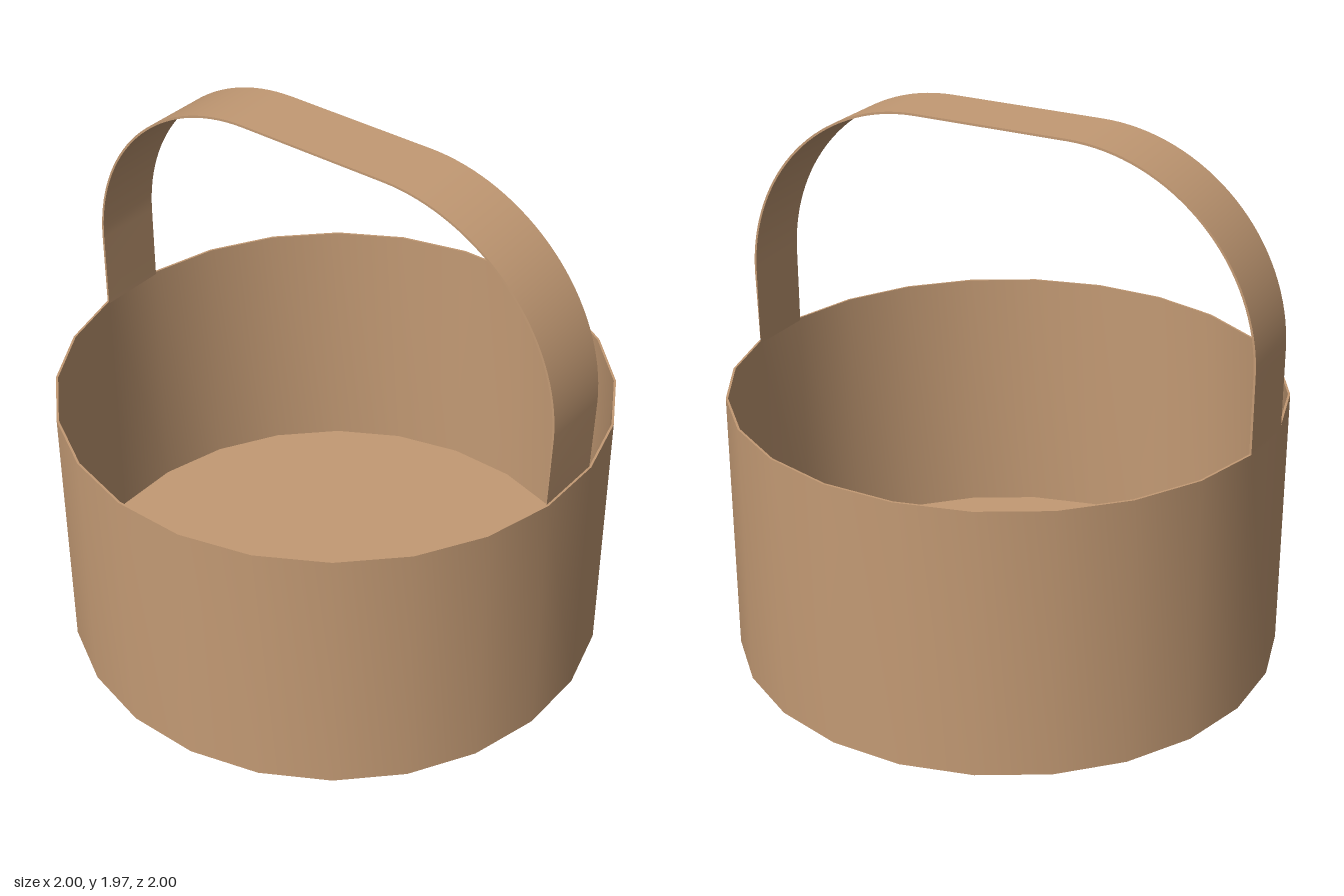
import * as THREE from 'three';
import { toCreasedNormals } from 'three/addons/utils/BufferGeometryUtils.js';

const SIDES = 24;
const RADIUS = 1;
const HEIGHT = 0.99;
const WALL = 0.008;
const TOP = 1.97;
const HALF_STEP = Math.PI / SIDES;

export function createModel() {
  const model = new THREE.Group();
  model.name = 'basket';
  const wicker = new THREE.MeshStandardMaterial({ color: 0xc39a74 });
  wicker.name = 'tan wicker';

  // Open tub: floor, outer wall, rim and inner wall in one profile
  const profile = [
    [0, 0], [RADIUS, 0], [RADIUS, HEIGHT],
    [RADIUS - WALL, HEIGHT], [RADIUS - WALL, WALL], [0, WALL],
  ].map(([r, y]) => new THREE.Vector2(r, y));
  const tubGeometry = new THREE.LatheGeometry(profile, SIDES, HALF_STEP);
  const tub = new THREE.Mesh(toCreasedNormals(tubGeometry, 0.6), wicker);
  tub.name = 'tub';
  model.add(tub);

  // Strap handle: flat on top with round shoulders, one wall facet wide
  const reach = RADIUS * Math.cos(HALF_STEP);
  const width = 2 * RADIUS * Math.sin(HALF_STEP);
  const bend = 0.7;
  const cx = reach - bend;
  const cy = TOP - bend;
  const foot = HEIGHT - 0.01;
  const inner = bend - WALL;

  const strap = new THREE.Shape();
  strap.moveTo(reach, foot);
  strap.absarc(cx, cy, bend, 0, Math.PI / 2, false);
  strap.absarc(-cx, cy, bend, Math.PI / 2, Math.PI, false);
  strap.lineTo(-reach, foot);
  strap.lineTo(-reach + WALL, foot);
  strap.absarc(-cx, cy, inner, Math.PI, Math.PI / 2, true);
  strap.absarc(cx, cy, inner, Math.PI / 2, 0, true);
  strap.lineTo(reach - WALL, foot);
  strap.closePath();

  const strapGeometry = new THREE.ExtrudeGeometry(strap, {
    depth: width, bevelEnabled: false, curveSegments: 16,
  });
  strapGeometry.translate(0, 0, -width / 2);
  const handle = new THREE.Mesh(toCreasedNormals(strapGeometry, 0.6), wicker);
  handle.name = 'handle';
  model.add(handle);

  model.rotation.y = THREE.MathUtils.degToRad(10.1);
  return model;
}
